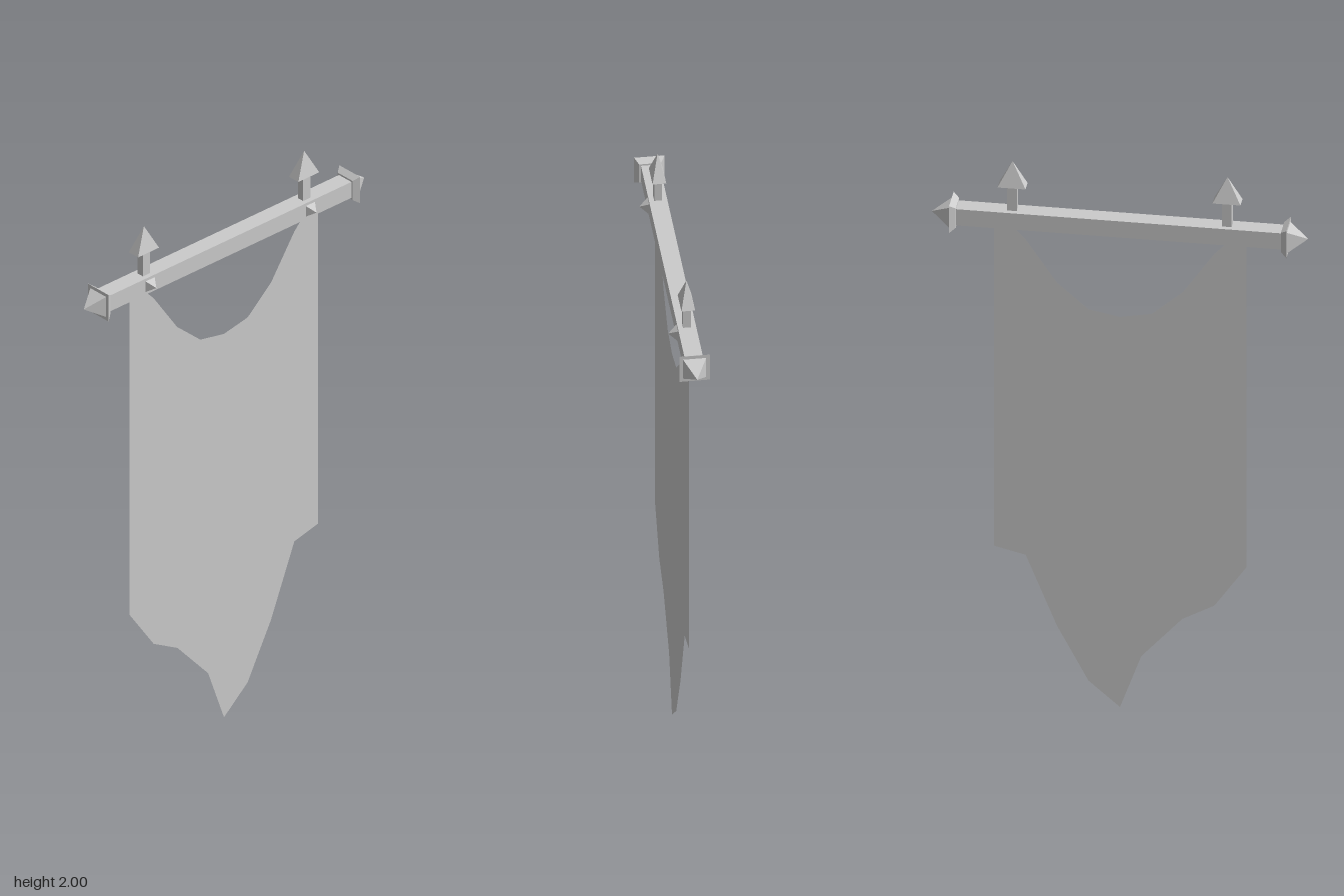
import * as THREE from 'three';

const BAR_Y = 1.792, BAR_Z = -0.006;

export function createModel() {
  const group = new THREE.Group();
  const mat = new THREE.MeshStandardMaterial({ color: 0xcccccc, flatShading: true });
  const clothMat = new THREE.MeshStandardMaterial({ color: 0xcccccc, side: THREE.DoubleSide });

  const add = (name, geometry, x, y, z, material = mat) => {
    const mesh = new THREE.Mesh(geometry, material);
    mesh.name = name;
    mesh.position.set(x, y, z);
    group.add(mesh);
    return mesh;
  };

  // Square frustum along y with half widths at top and bottom, centred at the origin
  const frustum = (top, bottom, height) =>
    new THREE.CylinderGeometry(top * Math.SQRT2, bottom * Math.SQRT2, height, 4).rotateY(Math.PI / 4);

  // Crossbar
  add('crossbar', new THREE.BoxGeometry(1.08, 0.06, 0.06), 0, BAR_Y, BAR_Z);

  for (const s of [-1, 1]) {
    const side = s > 0 ? 'left' : 'right';

    // Flared collar and pointed cap at each end of the bar
    add(side + 'Collar', frustum(0.05, 0.036, 0.02).rotateZ(-s * Math.PI / 2), s * 0.544, BAR_Y, BAR_Z);
    add(side + 'EndPoint', frustum(0, 0.038, 0.064).rotateZ(-s * Math.PI / 2), s * 0.586, BAR_Y, BAR_Z);

    // Upright spike: stem and flattened pyramid head
    const x = s * 0.353;
    add(side + 'SpikeStem', new THREE.BoxGeometry(0.032, 0.1, 0.026), x, 1.865, BAR_Z);
    add(side + 'SpikeHead', frustum(0, 0.046, 0.09).scale(1, 1, 0.49), x, 1.955, BAR_Z);

    // Pyramid stud on the front of the bar
    add(side + 'Stud', frustum(0, 0.02, 0.03).rotateX(Math.PI / 2), x, BAR_Y, BAR_Z + 0.045);
  }

  // Cloth: ragged pointed hem, straight sides, sagging top edge
  const outline = [
    [-0.416, 0.555], [-0.31, 0.403], [-0.205, 0.345], [-0.07, 0.195], [0, 0],
    [0.104, 0.09], [0.207, 0.285], [0.31, 0.54], [0.414, 0.565], [0.414, 1.785],
    [0.38, 1.785], [0.31, 1.712], [0.207, 1.56], [0.104, 1.47], [0, 1.45],
    [-0.104, 1.47], [-0.207, 1.56], [-0.31, 1.71], [-0.38, 1.785], [-0.416, 1.785],
  ];
  const shape = new THREE.Shape(outline.map(([x, y]) => new THREE.Vector2(x, y)));
  add('bannerCloth', new THREE.ShapeGeometry(shape), 0, 0, BAR_Z, clothMat);

  return group;
}
